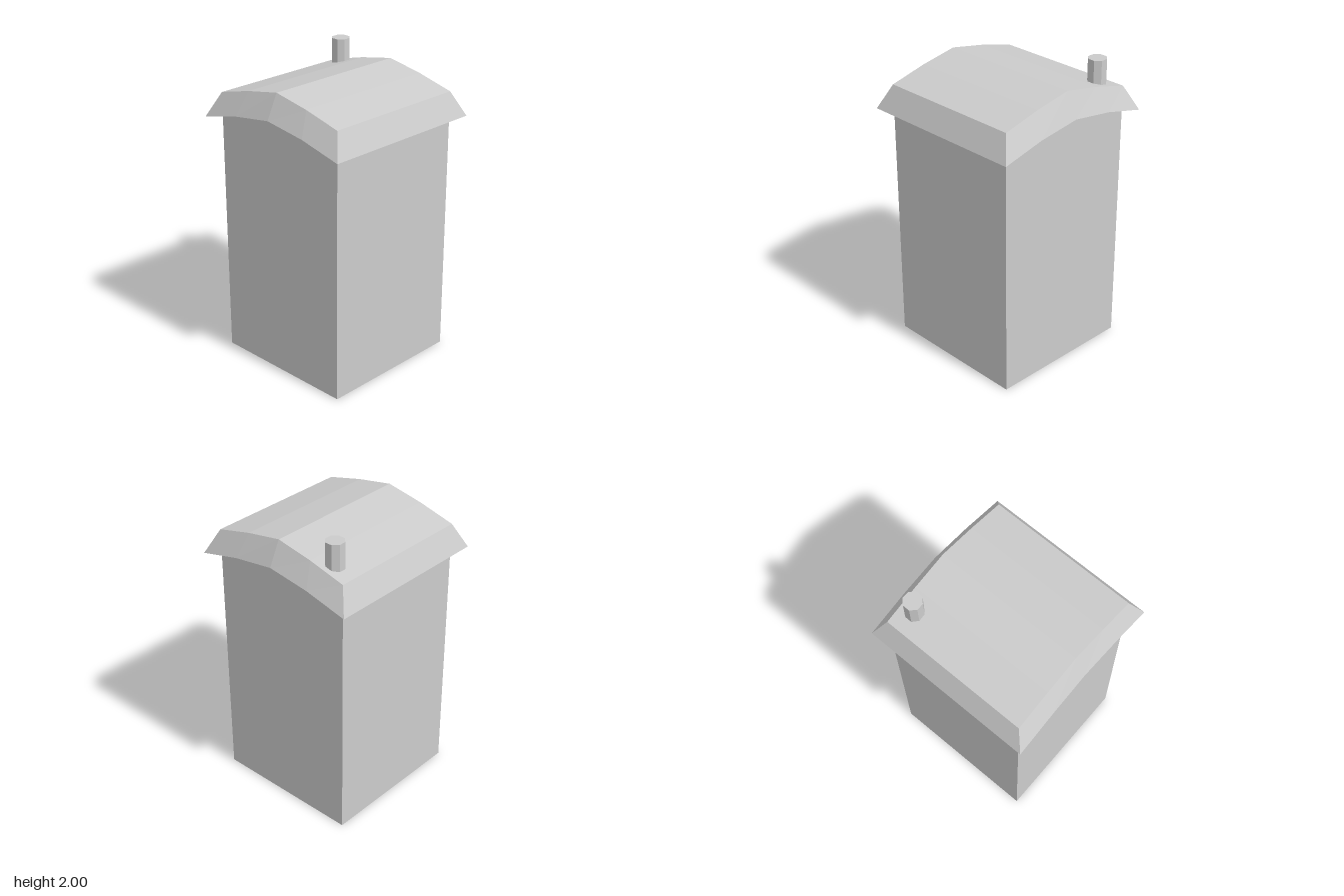
import * as THREE from 'three';

const material = new THREE.MeshStandardMaterial({ color: 0xcccccc, flatShading: true });

function addPart(group, name, geometry) {
  const mesh = new THREE.Mesh(geometry, material);
  mesh.name = name;
  group.add(mesh);
  return mesh;
}

// Arched roof slab: a box split across x, bent to an arch and flared at the eaves
function roofGeometry() {
  const top = { half: 0.505, xs: [0, 0.252, 0.505], ys: [1.913, 1.866, 1.802] };
  const eave = { half: 0.582, xs: [0, 0.291, 0.582], ys: [1.753, 1.711, 1.64] };
  const geometry = new THREE.BoxGeometry(4, 2, 2, 4, 1, 1);
  const p = geometry.attributes.position;
  for (let i = 0; i < p.count; i++) {
    const ring = p.getY(i) > 0 ? top : eave;
    const x = Math.round(p.getX(i));
    const step = Math.abs(x);
    p.setXYZ(i, Math.sign(x) * ring.xs[step], ring.ys[step], Math.sign(p.getZ(i)) * ring.half);
  }
  const flat = geometry.toNonIndexed();
  flat.computeVertexNormals();
  return flat;
}

// Square tower whose top follows the underside of the roof
function bodyGeometry() {
  const half = 0.505;
  const outline = [[-half, 0], [half, 0], [half, 1.659], [0.291, 1.711], [0, 1.753], [-0.291, 1.711], [-half, 1.659]];
  const shape = new THREE.Shape(outline.map(([x, y]) => new THREE.Vector2(x, y)));
  return new THREE.ExtrudeGeometry(shape, { depth: 2 * half, bevelEnabled: false }).translate(0, 0, -half);
}

export function createModel() {
  const group = new THREE.Group();
  group.name = 'hut';
  addPart(group, 'body', bodyGeometry());
  addPart(group, 'roof', roofGeometry());

  // Octagonal stovepipe at the back right corner
  const pipe = addPart(group, 'chimney', new THREE.CylinderGeometry(0.062, 0.062, 0.2, 8).rotateY(Math.PI / 8));
  pipe.position.set(-0.362, 1.9, -0.413);
  return group;
}
